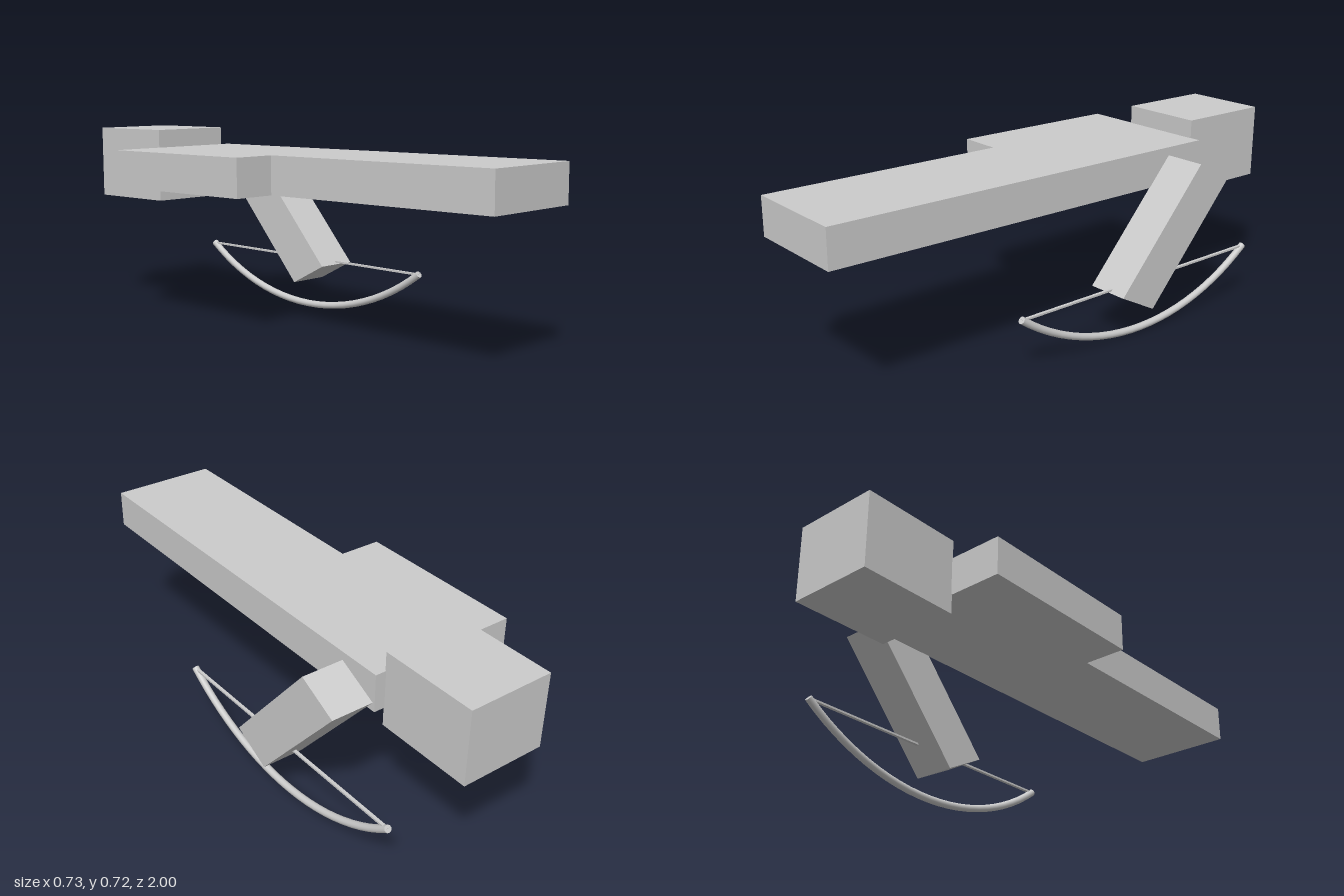
import * as THREE from 'three';

const grey = new THREE.MeshStandardMaterial({ color: 0xcccccc });

function add(parent, name, geometry) {
  const mesh = new THREE.Mesh(geometry, grey);
  mesh.name = name;
  parent.add(mesh);
  return mesh;
}

// box given by its x and z ranges and its height
function slab(parent, name, x0, x1, z0, z1, height) {
  const mesh = add(parent, name, new THREE.BoxGeometry(x1 - x0, height, z1 - z0));
  mesh.position.set((x0 + x1) / 2, 0, (z0 + z1) / 2);
}

export function createModel() {
  const model = new THREE.Group();
  model.name = 'lyingArcher';

  // blocky body lying face down, tilted very slightly
  const body = new THREE.Group();
  body.name = 'body';
  body.position.y = 0.585;
  body.rotation.x = -0.0095;
  model.add(body);
  slab(body, 'head', -0.162, 0.162, -0.995, -0.617, 0.28);
  slab(body, 'torso', -0.203, 0.203, -0.62, 0.055, 0.141);
  slab(body, 'rightArm', -0.365, -0.203, -0.62, 0.06, 0.141);
  slab(body, 'legs', -0.203, 0.203, 0.055, 1, 0.141);

  // left arm: a slanted block reaching down to the bow; the outline is (-z, y)
  const outline = new THREE.Shape([
    [0.455, 0.62], [0.61, 0.54], [0.228, 0.113], [0.075, 0.194],
  ].map(([u, v]) => new THREE.Vector2(u, v)));
  const arm = add(model, 'leftArm',
    new THREE.ExtrudeGeometry(outline, { depth: 0.163, bevelEnabled: false }));
  arm.rotation.y = Math.PI / 2;
  arm.position.x = 0.201;

  // bow: a circular arc of round rod with closed tips
  const bow = new THREE.Group();
  bow.name = 'bow';
  bow.position.set(0.291, 0, -0.238);
  model.add(bow);
  const arcRadius = 0.95, halfAngle = 0.644, rod = 0.0137;
  const onArc = (a) => new THREE.Vector3(
    0, rod + arcRadius * (1 - Math.cos(a)), arcRadius * Math.sin(a));
  const points = [];
  for (let i = 0; i <= 16; i++) points.push(onArc(halfAngle * (i / 8 - 1)));
  const curve = new THREE.CatmullRomCurve3(points);
  add(bow, 'bowLimbs', new THREE.TubeGeometry(curve, 24, rod, 12));
  for (const side of [-1, 1]) {
    const a = side * halfAngle;
    const cap = add(bow, 'bowTip', new THREE.CircleGeometry(rod, 12));
    cap.position.copy(onArc(a));
    const outward = new THREE.Vector3(0, Math.sin(a), Math.cos(a)).multiplyScalar(side);
    cap.quaternion.setFromUnitVectors(new THREE.Vector3(0, 0, 1), outward);
  }

  // bowstring between the tips
  const string = add(bow, 'bowstring', new THREE.BoxGeometry(0.012, 0.007, 1.14));
  string.position.y = 0.203;

  return model;
}
